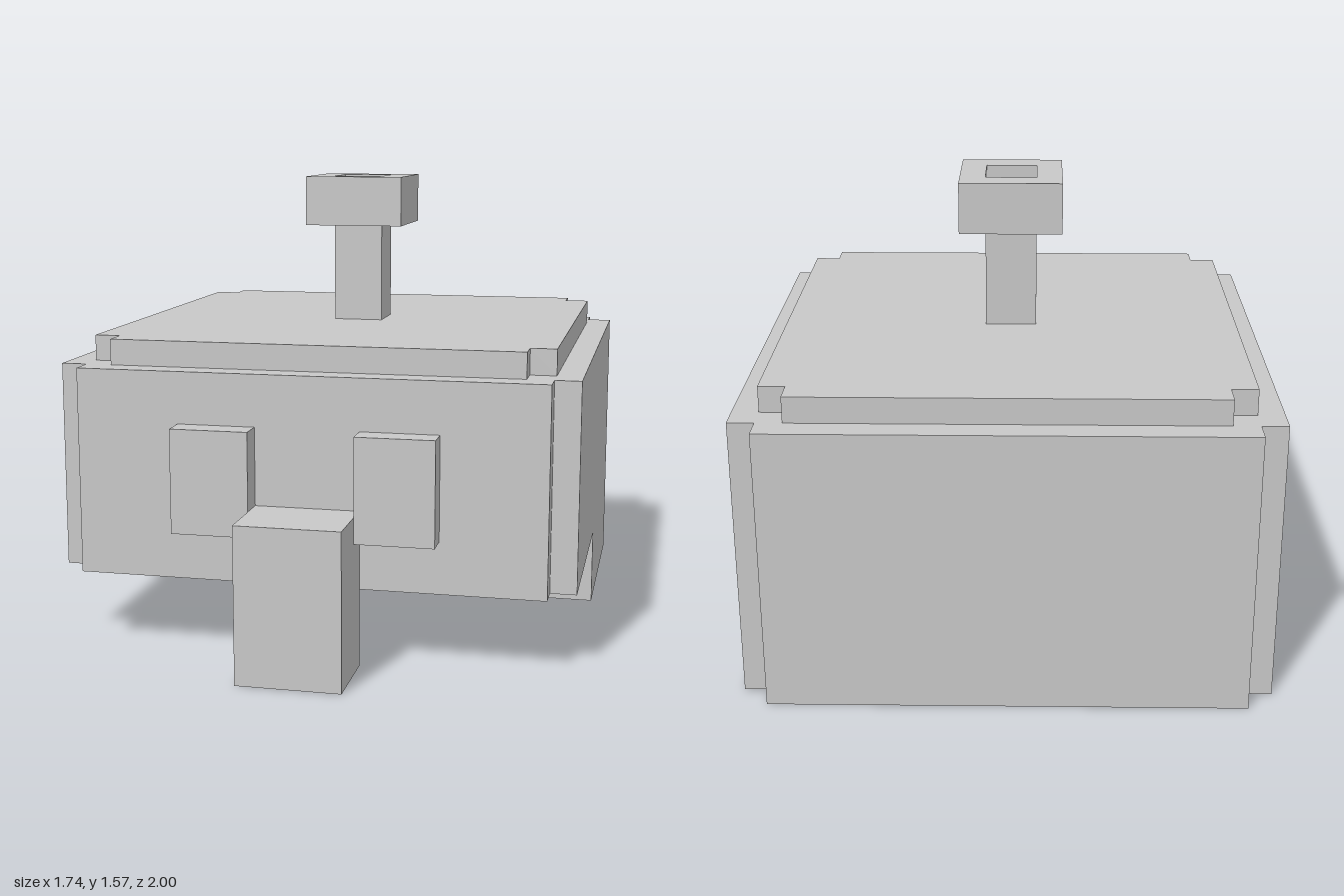
import * as THREE from 'three';

const U = 2 / 23; // one block of the model's grid

export function createModel() {
  const group = new THREE.Group();
  const grey = new THREE.MeshStandardMaterial({ color: 0xc8c8c8 });
  grey.name = 'light grey';

  const add = (name, geometry) => {
    geometry.scale(U, U, U);
    const mesh = new THREE.Mesh(geometry, grey);
    mesh.name = name;
    group.add(mesh);
  };

  // Box given by its ranges in grid blocks
  const block = (name, x0, x1, y0, y1, z0, z1) =>
    add(name, new THREE.BoxGeometry(x1 - x0, y1 - y0, z1 - z0)
      .translate((x0 + x1) / 2, (y0 + y1) / 2, (z0 + z1) / 2));

  // Floor plan of [x, z] points raised from y0 to y1; plans run
  // counter-clockwise seen from above so that hole walls face inwards
  const toPoints = (plan) => plan.map(([x, z]) => new THREE.Vector2(x, -z));
  const raise = (name, plan, y0, y1, hole) => {
    const shape = new THREE.Shape(toPoints(plan));
    if (hole) shape.holes.push(new THREE.Path(toPoints(hole)));
    add(name, new THREE.ExtrudeGeometry(shape, { depth: y1 - y0, bevelEnabled: false })
      .rotateX(-Math.PI / 2).translate(0, y0, 0));
  };

  const square = (r, cz) => [[-r, cz + r], [r, cz + r], [r, cz - r], [-r, cz - r]];
  // Square plan with a one-block notch in each corner
  const notched = (r, cz) => [
    [-r + 1, cz + r], [r - 1, cz + r], [r - 1, cz + r - 1], [r, cz + r - 1],
    [r, cz - r + 1], [r - 1, cz - r + 1], [r - 1, cz - r], [-r + 1, cz - r],
    [-r + 1, cz - r + 1], [-r, cz - r + 1], [-r, cz + r - 1], [-r + 1, cz + r - 1],
  ];

  // Hollow body, open underneath, with a stepped roof
  const cz = -1.5;
  raise('bodyWalls', notched(10, cz), 3, 8, square(8, cz));
  raise('bodyTop', notched(10, cz), 8, 11);
  raise('roof', notched(9, cz), 11, 12);

  // Wall reaching the ground around the rear half
  raise('rearSkirt', [
    [8, -1.5], [10, -1.5], [10, -10.5], [9, -10.5], [9, -11.5],
    [-9, -11.5], [-9, -10.5], [-10, -10.5], [-10, -1.5], [-8, -1.5],
    [-8, -9.5], [8, -9.5],
  ], 0, 3);

  // Front post and the two raised panels beside it
  block('frontPost', -2, 2, 0, 6, 8.5, 11.5);
  block('leftPanel', 2, 5, 5, 9, 8.5, 9.5);
  block('rightPanel', -5, -2, 5, 9, 8.5, 9.5);

  // Stem on the roof with a recessed cap
  block('stem', -1, 1, 12, 16, -2.5, -0.5);
  block('capBase', -2, 2, 16, 17, -3.5, 0.5);
  raise('capRim', square(2, cz), 17, 18, square(1, cz));

  return group;
}
